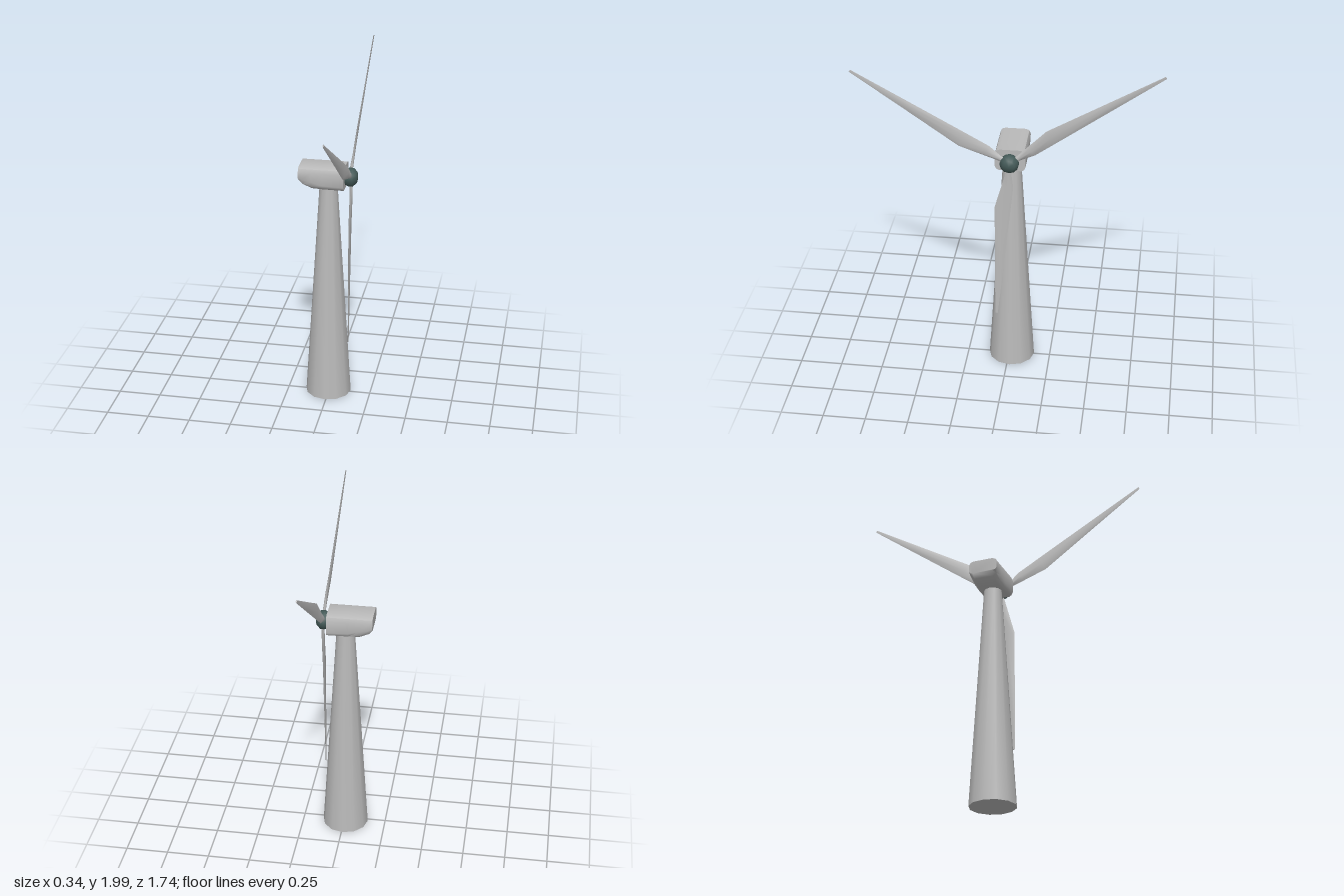
import * as THREE from 'three';
import { toCreasedNormals } from 'three/addons/utils/BufferGeometryUtils.js';

// Skin a list of closed rings (counter-clockwise seen from the far end) and cap both ends.
function loft(rings, crease) {
  const n = rings[0].length, pos = [], idx = [];
  rings.forEach(r => r.forEach(p => pos.push(...p)));
  for (let i = 0; i < rings.length - 1; i++) {
    for (let j = 0; j < n; j++) {
      const a = i * n + j, b = i * n + (j + 1) % n;
      idx.push(a, b, a + n, b, b + n, a + n);
    }
  }
  const last = (rings.length - 1) * n;
  for (let j = 1; j < n - 1; j++) {
    idx.push(0, j + 1, j, last, last + j, last + j + 1);
  }
  const g = new THREE.BufferGeometry();
  g.setAttribute('position', new THREE.Float32BufferAttribute(pos, 3));
  g.setIndex(idx);
  return toCreasedNormals(g, crease);
}

// Blade along +z: near edge on -x, broad far edge on +x, lens-shaped section.
function bladeGeometry() {
  const stations = [ // distance, near edge, far edge, half thickness
    [0.03, -0.014, 0.014, 0.010],
    [0.07, -0.018, 0.018, 0.009],
    [0.15, -0.034, 0.034, 0.007],
    [0.295, -0.030, 0.063, 0.005],
    [0.65, -0.019, 0.036, 0.004],
    [1.03, -0.007, 0.008, 0.003],
  ];
  const rings = stations.map(([d, near, far, t]) => {
    const ring = [], c = (near + far) / 2, h = (far - near) / 2;
    for (let k = 0; k < 8; k++) {
      const a = k * Math.PI / 4;
      ring.push([c + h * Math.cos(a), t * Math.sin(a), d]);
    }
    return ring;
  });
  return loft(rings, 1.0);
}

// Nacelle along x: rounded box whose underside sweeps up at the rear.
function nacelleGeometry() {
  const sections = [ // x, bottom y, bottom half width, lower side y
    [-0.17, 1.395, 0.062, 1.41],
    [-0.15, 1.368, 0.06, 1.403],
    [-0.095, 1.344, 0.06, 1.39],
    [-0.03, 1.342, 0.062, 1.372],
    [0.093, 1.342, 0.065, 1.368],
  ];
  const rings = sections.map(([x, by, bw, sy]) => {
    const half = [
      [bw, by], [0.08, by + (sy - by) * 0.35], [0.0875, sy],
      [0.0875, 1.445], [0.08, 1.466], [0.06, 1.474],
    ];
    const right = half.map(([z, y]) => [x, y, -z]);
    const left = half.map(([z, y]) => [x, y, z]).reverse();
    return [...right, ...left];
  });
  return loft(rings, 0.75);
}

export function createModel() {
  const paint = new THREE.MeshStandardMaterial({ color: 0xbababa });
  paint.name = 'lightGrey';
  const dark = new THREE.MeshStandardMaterial({ color: 0x445a58 });
  dark.name = 'darkTeal';

  const model = new THREE.Group();
  model.name = 'windTurbine';
  const add = (name, geometry, material, parent = model) => {
    const mesh = new THREE.Mesh(geometry, material);
    mesh.name = name;
    parent.add(mesh);
    return mesh;
  };

  // Tapered tower
  add('tower', new THREE.CylinderGeometry(0.052, 0.137, 1.36, 12), paint)
    .position.set(-0.007, 0.68, -0.016);

  // Machine housing
  add('nacelle', nacelleGeometry(), paint).position.z = -0.016;

  // Rotor facing +x
  const rotor = new THREE.Group();
  rotor.name = 'rotor';
  rotor.position.set(0.124, 1.404, -0.015);
  model.add(rotor);

  const profile = [[0, -0.034], [0.045, -0.034], [0.055, -0.012], [0.054, 0.012], [0.034, 0.034], [0, 0.041]]
    .map(([r, h]) => new THREE.Vector2(r, h));
  const hubGeometry = toCreasedNormals(new THREE.LatheGeometry(profile, 12), 0.9);
  add('hub', hubGeometry, dark, rotor).rotation.z = -Math.PI / 2;

  // Blades: outward direction and broad-edge direction as [y, z], pitch and offset in x
  const blade = bladeGeometry();
  const layout = [
    ['frontBlade', [0.512, 0.860], [-0.860, 0.512], 0, 0.001],
    ['rearBlade', [0.567, -0.824], [0.824, 0.567], 0.1, -0.007],
    ['lowerBlade', [-0.997, 0.073], [0.073, 0.997], 0, 0.001],
  ];
  for (const [name, out, broad, pitch, x] of layout) {
    const u = new THREE.Vector3(0, ...out).normalize();
    const v = new THREE.Vector3(0, ...broad).normalize();
    const n = new THREE.Vector3().crossVectors(u, v);
    const mesh = add(name, blade, paint, rotor);
    mesh.quaternion.setFromRotationMatrix(new THREE.Matrix4().makeBasis(v, n, u));
    mesh.rotateZ(pitch);
    mesh.position.x = x;
  }
  return model;
}
